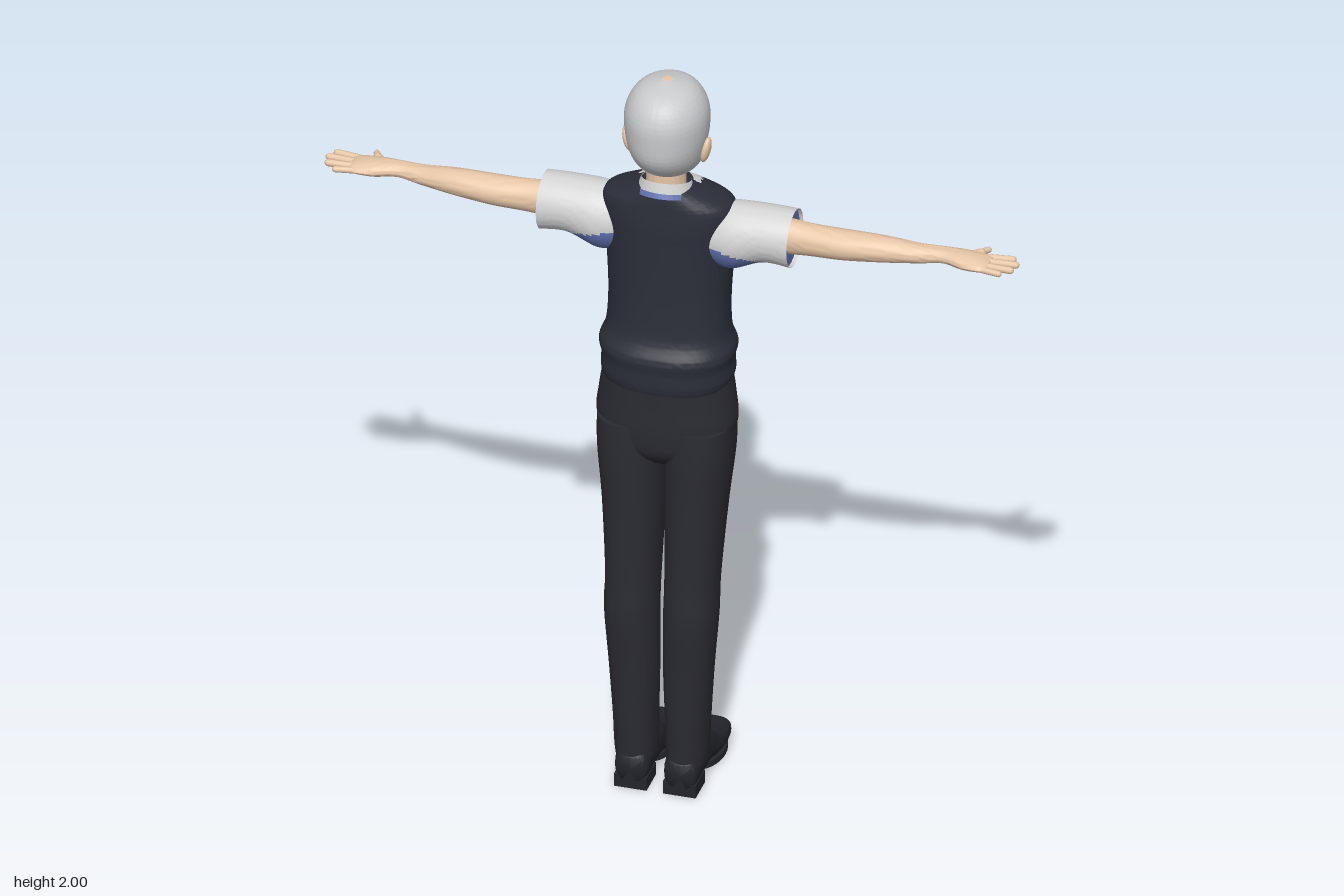
import * as THREE from 'three';
import { toCreasedNormals } from 'three/addons/utils/BufferGeometryUtils.js';

const mat = (name, color, side = THREE.FrontSide) => {
  const m = new THREE.MeshStandardMaterial({ color, side });
  m.name = name;
  return m;
};

export function createModel() {
  const model = new THREE.Group();
  model.name = 'standingMan';
  const vest = mat('charcoal vest', 0x2b2e39);
  const cloth = mat('dark trousers', 0x2a2a32);
  const leather = mat('black shoe', 0x24252c);
  const hair = mat('silver hair', 0xc9cacc);
  const skin = mat('skin', 0xe8c7a8);
  const shirt = mat('pale shirt', 0xd4d4d5, THREE.DoubleSide);
  const blue = mat('blue lining', 0x6172ae, THREE.DoubleSide);
  const line = mat('dark features', 0x4a3f3c);

  const add = (name, geo, material, parent = model) => {
    const mesh = new THREE.Mesh(geo, material);
    mesh.name = name;
    parent.add(mesh);
    return mesh;
  };
  const spline = (a, b, c, d, t) => b + 0.5 * t * (c - a + t * (2 * a - 5 * b + 4 * c - d + t * (3 * (b - c) + d - a)));

  // Smooth skin over oval rings [t, centreU, centreV, radiusU, radiusV] along one axis.
  // pick(x, y, z) chooses a material index for each quad.
  function loft(axis, rings, { m = 1, n = 40, sub = 5, power = 2, caps = true, pick = () => 0 } = {}) {
    const pos = [], faces = [[], [], []], rows = [];
    const place = (t, u, v) => {
      const p = axis === 'y' ? [u, t, v] : axis === 'x' ? [t, u, v] : [u, v, t];
      pos.push(p[0] * m, p[1], p[2]);
    };
    const last = rings.length - 1;
    for (let i = 0; i <= last * sub; i++) {
      const k = Math.min(Math.floor(i / sub), last - 1), f = i / sub - k;
      const at = j => rings[Math.max(0, Math.min(last, j))];
      rows.push(rings[0].map((_, c) => spline(at(k - 1)[c], at(k)[c], at(k + 1)[c], at(k + 2)[c], f)));
    }
    const bend = a => Math.sign(a) * Math.abs(a) ** (2 / power);
    for (const [t, cu, cv, ru, rv] of rows)
      for (let j = 0; j < n; j++) {
        const a = j / n * Math.PI * 2;
        place(t, cu + ru * bend(Math.cos(a)), cv + rv * bend(Math.sin(a)));
      }
    const flip = (axis === 'y') !== (m < 0);
    const tri = (a, b, c, g) => faces[g].push(...(flip ? [a, c, b] : [a, b, c]));
    const mid = (a, b, o) => (pos[a * 3 + o] + pos[b * 3 + o]) / 2;
    for (let i = 0; i < rows.length - 1; i++)
      for (let j = 0; j < n; j++) {
        const a = i * n + j, b = i * n + (j + 1) % n, c = b + n, d = a + n;
        const g = pick(Math.abs(mid(a, c, 0)), mid(a, c, 1), mid(a, c, 2));
        tri(a, b, c, g);
        tri(a, c, d, g);
      }
    if (caps) for (const i of [0, rows.length - 1]) {
      const centre = pos.length / 3;
      place(...rows[i].slice(0, 3));
      for (let j = 0; j < n; j++) {
        const a = i * n + j, b = i * n + (j + 1) % n;
        i ? tri(a, b, centre, 0) : tri(b, a, centre, 0);
      }
    }
    const geo = new THREE.BufferGeometry();
    geo.setAttribute('position', new THREE.Float32BufferAttribute(pos, 3));
    geo.setIndex(faces.flat());
    let start = 0;
    faces.forEach((f, g) => { if (f.length) geo.addGroup(start, f.length, g); start += f.length; });
    return toCreasedNormals(geo, 0.9);
  }
  const ball = (name, p, s, material, rz = 0) => {
    const mesh = add(name, new THREE.SphereGeometry(1, 20, 14), material);
    mesh.position.set(...p);
    mesh.scale.set(...s);
    mesh.rotation.z = rz;
  };
  const flap = (name, points, material) =>
    add(name, new THREE.BufferGeometry().setFromPoints(points.map(p => new THREE.Vector3(...p))), material).geometry.computeVertexNormals();

  // Sleeveless vest with the shirt showing in the V neck
  add('vest', loft('y', [
    [1.15, 0, 0.027, 0.16, 0.123], [1.17, 0, 0.026, 0.167, 0.128], [1.21, 0, 0.026, 0.166, 0.128],
    [1.245, 0, 0.025, 0.172, 0.131], [1.29, 0, 0.02, 0.157, 0.112], [1.37, 0, 0.014, 0.153, 0.109],
    [1.46, 0, 0.009, 0.157, 0.11], [1.55, 0, 0.008, 0.164, 0.109], [1.61, 0, 0.013, 0.17, 0.103],
    [1.655, 0, 0.02, 0.165, 0.092], [1.68, 0, 0.028, 0.125, 0.082], [1.71, 0, 0.042, 0.065, 0.063],
  ], { n: 128, sub: 8, power: 2.3, pick: (x, y, z) => z < 0.02 && y > 1.53 + x * 2.2 ? 1 : 0 }), [vest, shirt]);

  // Trousers
  add('trouserHips', loft('y', [
    [0.93, 0, 0.04, 0.05, 0.07], [0.97, 0, 0.04, 0.14, 0.102], [1.03, 0, 0.036, 0.176, 0.112],
    [1.1, 0, 0.032, 0.172, 0.112], [1.18, 0, 0.03, 0.16, 0.11],
  ], { power: 2.3 }), cloth);

  for (const [side, m] of [['left', 1], ['right', -1]]) {
    add(side + 'TrouserLeg', loft('y', [
      [0.08, 0.065, 0.08, 0.05, 0.066], [0.12, 0.066, 0.079, 0.053, 0.068], [0.2, 0.067, 0.081, 0.055, 0.069],
      [0.35, 0.07, 0.085, 0.062, 0.07], [0.5, 0.076, 0.084, 0.067, 0.079], [0.6, 0.076, 0.072, 0.067, 0.084],
      [0.8, 0.08, 0.052, 0.076, 0.098], [0.95, 0.086, 0.041, 0.085, 0.108], [1.04, 0.087, 0.037, 0.086, 0.107],
    ], { m, power: 2.3 }), cloth);

    // Shoe with heel and sole
    add(side + 'Shoe', loft('z', [
      [-0.165, 0.064, 0.03, 0.022, 0.016], [-0.153, 0.064, 0.032, 0.043, 0.025], [-0.1, 0.063, 0.036, 0.052, 0.03],
      [-0.04, 0.063, 0.048, 0.05, 0.04], [0, 0.063, 0.068, 0.046, 0.054], [0.06, 0.063, 0.068, 0.044, 0.054],
      [0.13, 0.063, 0.062, 0.043, 0.045], [0.148, 0.063, 0.055, 0.03, 0.033],
    ], { m, power: 2.6 }), leather);
    add(side + 'Heel', new THREE.BoxGeometry(0.084, 0.035, 0.082), leather).position.set(0.063 * m, 0.0175, 0.104);
    const sole = add(side + 'Sole', new THREE.CylinderGeometry(1, 1, 0.016, 32), leather);
    sole.position.set(0.063 * m, 0.008, -0.075);
    sole.scale.set(0.053, 1, 0.09);

    // Short sleeve with blue underside and lining
    add(side + 'Sleeve', loft('x', [
      [0.11, 1.57, 0.015, 0.075, 0.07], [0.17, 1.571, 0.018, 0.088, 0.08],
      [0.25, 1.588, 0.018, 0.073, 0.075], [0.322, 1.585, 0.018, 0.075, 0.073],
    ], { m, sub: 10, n: 64, caps: false, pick: (x, y) => x < 0.29 && y < 1.555 - (x - 0.16) * 0.25 ? 1 : 0 }), [shirt, blue]);
    const lining = add(side + 'SleeveLining', new THREE.CircleGeometry(0.073, 32), blue);
    lining.position.set(0.312 * m, 1.585, 0.018);
    lining.rotation.y = Math.PI / 2;

    // Bare arm running into a flat palm
    add(side + 'Arm', loft('x', [
      [0.28, 1.59, 0.018, 0.05, 0.04], [0.36, 1.59, 0.02, 0.042, 0.039], [0.45, 1.592, 0.022, 0.038, 0.042],
      [0.55, 1.595, 0.018, 0.033, 0.037], [0.64, 1.59, 0.004, 0.024, 0.029], [0.7, 1.592, -0.003, 0.019, 0.027],
      [0.755, 1.592, 0.004, 0.019, 0.038], [0.8, 1.592, 0.007, 0.014, 0.04], [0.82, 1.592, 0.007, 0.007, 0.033],
    ], { m, n: 28 }), skin);

    // Fingers and thumb: [base x, z, tip x, y, z, radius]
    [[0.79, -0.02, 0.868, 1.592, -0.03, 0.009], [0.8, -0.002, 0.882, 1.592, -0.007, 0.009],
      [0.8, 0.018, 0.876, 1.592, 0.021, 0.009], [0.785, 0.034, 0.852, 1.59, 0.042, 0.008],
      [0.725, -0.015, 0.775, 1.572, -0.068, 0.012], [0.765, -0.058, 0.786, 1.568, -0.094, 0.008],
    ].forEach(([bx, bz, tx, ty, tz, r], i) => {
      const a = new THREE.Vector3(bx * m, i < 4 ? 1.592 : 1.575, bz), b = new THREE.Vector3(tx * m, ty, tz);
      const d = b.clone().sub(a);
      const finger = add(side + (i < 4 ? 'Finger' : 'Thumb'), new THREE.CapsuleGeometry(r, d.length(), 4, 10), skin);
      finger.position.copy(a).addScaledVector(d, 0.5);
      finger.quaternion.setFromUnitVectors(new THREE.Vector3(0, 1, 0), d.normalize());
    });

    // Ear, eye, brow and collar point
    ball(side + 'Ear', [0.1 * m, 1.815, 0.04], [0.012, 0.036, 0.021], skin, -0.2 * m);
    ball(side + 'Eye', [0.04 * m, 1.822, -0.075], [0.017, 0.0035, 0.006], line);
    ball(side + 'Brow', [0.042 * m, 1.848, -0.076], [0.022, 0.005, 0.007], hair, -0.1 * m);
    flap(side + 'CollarPoint', [[0.006 * m, 1.69, -0.045], [0.07 * m, 1.705, 0], [0.05 * m, 1.64, -0.088]], shirt);
  }

  // Neck and sloping collar
  add('neck', loft('y', [[1.66, 0, 0.045, 0.055, 0.055], [1.71, 0, 0.045, 0.05, 0.05], [1.79, 0, 0.045, 0.05, 0.05]]), skin);
  const tilt = geo => {
    const p = geo.attributes.position;
    for (let i = 0; i < p.count; i++) p.setY(i, p.getY(i) + 0.3 * (p.getZ(i) - 0.045));
    geo.computeVertexNormals();
    return geo;
  };
  add('collar', tilt(loft('y', [[1.685, 0, 0.04, 0.075, 0.074], [1.72, 0, 0.045, 0.062, 0.06]], { caps: false })), shirt);
  add('collarBand', tilt(loft('y', [[1.678, 0, 0.04, 0.081, 0.079], [1.692, 0, 0.04, 0.074, 0.073]], { caps: false })), blue);
  flap('collarShade', [[-0.02, 1.685, -0.05], [0.02, 1.685, -0.05], [0, 1.645, -0.083]], blue);

  // Head: skin face, swept hair, beard along the jaw
  const headColour = (x, y, z) => {
    if (y > 1.925 - x * 0.25 || z > 0.02) return 1;
    if (z > -0.012 && y < 1.87) return 1;
    return y < 1.728 + 0.05 * Math.min(1, x / 0.06) ? 1 : 0;
  };
  add('head', loft('y', [
    [1.705, 0, -0.052, 0.018, 0.018], [1.72, 0, -0.028, 0.045, 0.055], [1.75, 0, 0.004, 0.07, 0.088],
    [1.78, 0, 0.022, 0.086, 0.107], [1.82, 0, 0.034, 0.096, 0.12], [1.87, 0, 0.037, 0.104, 0.123],
    [1.92, 0, 0.039, 0.103, 0.119], [1.96, 0, 0.039, 0.087, 0.1], [1.985, 0, 0.037, 0.06, 0.068],
    [2, 0, 0.035, 0.012, 0.014],
  ], { n: 96, sub: 8, pick: headColour }), [skin, hair]);
  add('nose', loft('y', [
    [1.782, 0, -0.083, 0.008, 0.008], [1.792, 0, -0.088, 0.014, 0.016],
    [1.81, 0, -0.085, 0.01, 0.012], [1.84, 0, -0.08, 0.006, 0.008],
  ], { n: 20 }), skin);
  ball('mouth', [0, 1.757, -0.081], [0.02, 0.0025, 0.004], line);

  return model;
}
